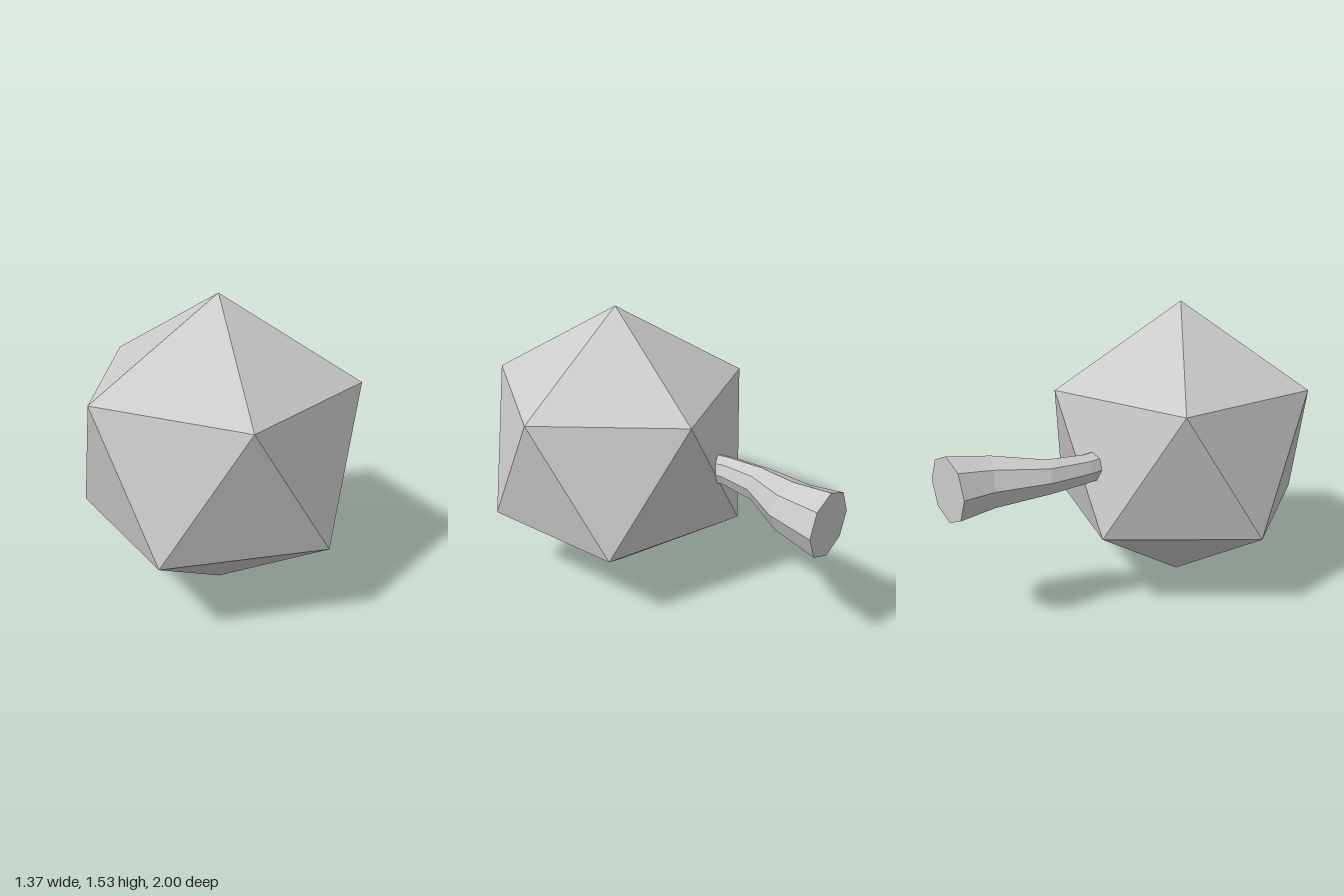
import * as THREE from 'three';

const material = new THREE.MeshStandardMaterial({ color: 0xcccccc, flatShading: true });

// Icosahedron standing on one corner, one upper-ring corner pointing to +x
function createBody(radius) {
  const pos = [0, radius, 0];
  const ringY = radius / Math.sqrt(5), ringR = 2 * ringY;
  for (const [y, turn] of [[ringY, 0], [-ringY, Math.PI / 5]]) {
    for (let i = 0; i < 5; i++) {
      const a = turn + i * Math.PI * 2 / 5;
      pos.push(ringR * Math.cos(a), y, ringR * Math.sin(a));
    }
  }
  pos.push(0, -radius, 0);
  const index = [];
  for (let i = 0; i < 5; i++) {
    const j = (i + 1) % 5;
    index.push(0, 1 + j, 1 + i, 1 + i, 1 + j, 6 + i, 1 + j, 6 + j, 6 + i, 11, 6 + i, 6 + j);
  }
  const geo = new THREE.BufferGeometry();
  geo.setAttribute('position', new THREE.Float32BufferAttribute(pos, 3));
  geo.setIndex(index);
  const flat = geo.toNonIndexed();
  flat.computeVertexNormals();
  return flat;
}

// Eight-sided bent stem; each ring: left x, left z, right x, right z, half height
function createStem(rings, y) {
  const last = rings.length - 1;
  const geo = new THREE.CylinderGeometry(1, 1, 1, 8, last);
  const p = geo.attributes.position;
  for (let i = 0; i < p.count; i++) {
    const [x0, z0, x1, z1, h] = rings[Math.round((0.5 - p.getY(i)) * last)];
    const t = (p.getX(i) + 1) / 2;
    p.setXYZ(i, x0 + (x1 - x0) * t, y + p.getZ(i) * h, z0 + (z1 - z0) * t);
  }
  const flat = geo.toNonIndexed();
  flat.computeVertexNormals();
  return flat;
}

export function createModel() {
  const group = new THREE.Group();
  const radius = 0.765;

  const body = new THREE.Mesh(createBody(radius), material);
  body.name = 'body';
  body.position.set(0, radius, 0.35);
  group.add(body);

  // Stem flares from the body to its flat end at the back
  const stem = new THREE.Mesh(createStem([
    [-0.10, -1, 0.24, -1, 0.17],
    [-0.09, -0.83, 0.165, -0.73, 0.137],
    [-0.15, -0.55, 0.025, -0.51, 0.093],
    [-0.15, -0.31, -0.005, -0.33, 0.078],
    [-0.125, -0.12, 0.03, -0.17, 0.076],
  ], radius), material);
  stem.name = 'stem';
  group.add(stem);

  return group;
}
